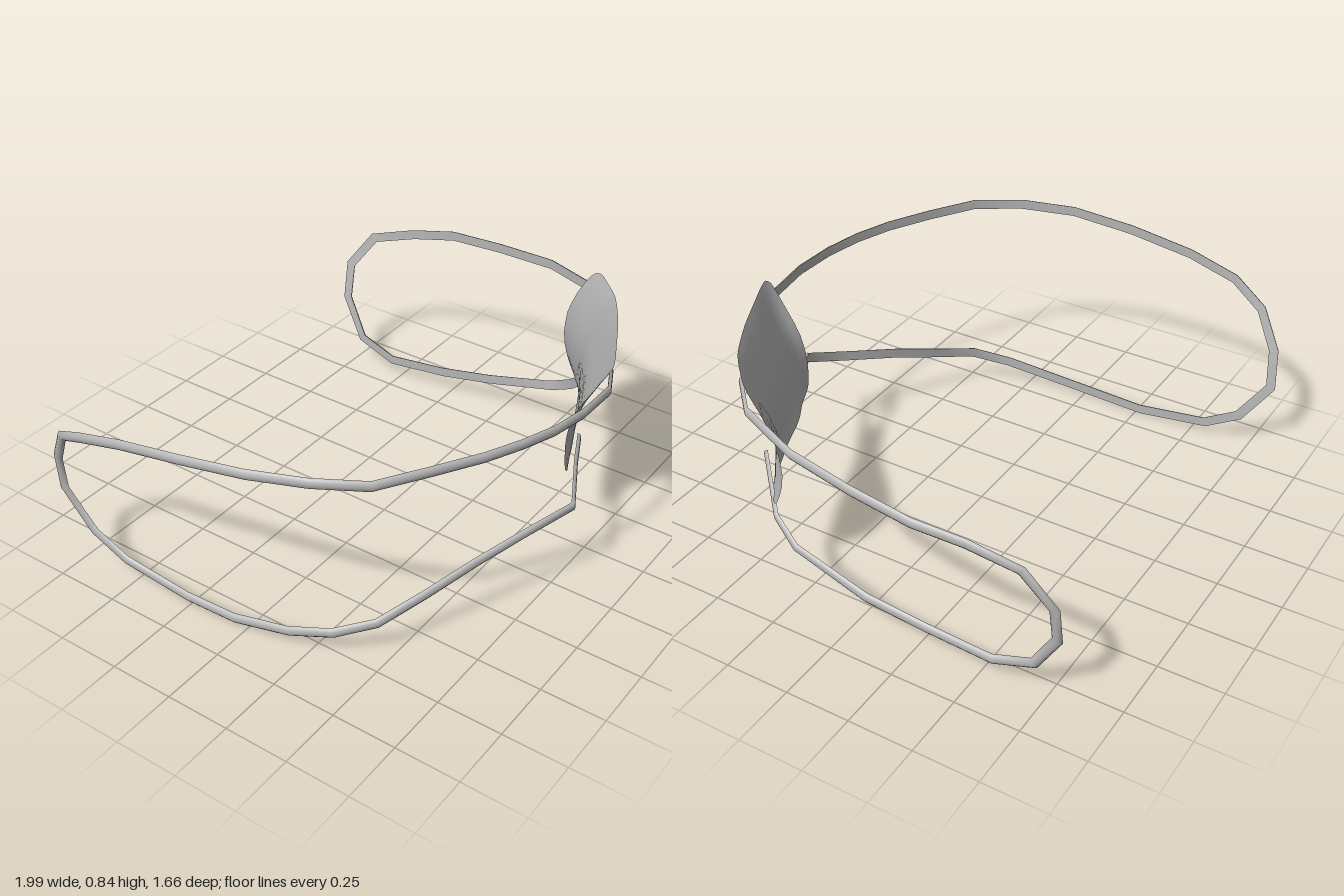
import * as THREE from 'three';

const grey = new THREE.MeshStandardMaterial({ color: 0xb4b4b4, side: THREE.DoubleSide });
grey.name = 'grey';

// Linear lookup in a short list of [position, value] stops
function lookup(stops, t) {
  for (let i = 1; i < stops.length; i++) {
    const [a, va] = stops[i - 1], [b, vb] = stops[i];
    if (t <= b) {
      const k = (t - a) / (b - a);
      return va + (vb - va) * k;
    }
  }
  return stops[stops.length - 1][1];
}

// Smoothed lookup, averaging neighbouring positions
function soft(stops, t) {
  const w = Math.min(0.07, t, 1 - t);
  return (lookup(stops, t - w) + 2 * lookup(stops, t) + lookup(stops, t + w)) / 4;
}

// Curved patch: a rounded rectangle wrapped around the face,
// its inner side rolled back and the middle of its lower edge curled in
function makePatch() {
  const topCurve = [[0, 0.815], [0.07, 0.805], [0.5, 0.673], [0.76, 0.575], [1, 0.42]];
  const leanInner = [[0, 0], [0.24, -0.05], [0.45, -0.1], [0.7, -0.125], [0.9, -0.13], [1, -0.13]];
  const leanOuter = [[0, 0], [0.1, -0.04], [0.27, -0.085], [0.47, -0.12], [0.7, -0.125], [0.9, -0.095], [1, -0.065]];
  const curlAcross = [[0, 0], [0.15, 0.4], [0.25, 1], [0.7, 1], [0.8, 0.4], [1, 0]];
  const rows = [0, 0.006, 0.02, 0.045, 0.08, 0.16, 0.26, 0.36, 0.46, 0.56, 0.66, 0.76, 0.86, 0.92, 0.955, 0.98, 0.994, 1];
  const cols = 24, r = 0.08;
  const pos = [], index = [];
  rows.forEach((v, j) => {
    const d = Math.min(v, 1 - v, r);
    const inset = 0.75 * (r - Math.sqrt(r * r - (r - d) ** 2));
    const curl = 0.035 * Math.max(0, (v - 0.8) / 0.2) ** 1.5;
    for (let i = 0; i <= cols; i++) {
      const u = inset + (1 - 2 * inset) * (i / cols);
      const x = 0.197 - 0.025 * v + u * (0.638 + 0.008 * v);
      const y = 0.842 - 0.482 * v - 0.012 * u;
      const roll = 0.025 * Math.max(0, 1 - u / 0.15) ** 2 * Math.sin(Math.PI * v);
      const z = soft(topCurve, u) + (1 - u) * soft(leanInner, v) + u * soft(leanOuter, v)
        - roll - curl * soft(curlAcross, u);
      pos.push(x, y, z);
      if (j && i) {
        const d0 = j * (cols + 1) + i, b0 = d0 - cols - 1;
        index.push(b0 - 1, d0 - 1, d0, b0 - 1, d0, b0);
      }
    }
  });
  const g = new THREE.BufferGeometry();
  g.setAttribute('position', new THREE.Float32BufferAttribute(pos, 3));
  g.setIndex(index);
  g.computeVertexNormals();
  return g;
}

// Strap: a band with a flat inside and a rounded outside, swept along the points
function makeStrap(points) {
  const P = points.map(p => new THREE.Vector3(...p));
  const half = 0.02, thick = 0.014, arc = 6;
  const section = [];
  for (let k = 0; k <= arc; k++) {
    const a = Math.PI * k / arc;
    section.push([half * Math.cos(a), thick * Math.sin(a) - thick / 2]);
  }
  section.push([-half, -thick / 2], [half, -thick / 2]); // doubled corners for a crisp flat side
  const n = section.length, pos = [], index = [];
  P.forEach((p, i) => {
    const before = P[Math.max(i - 1, 0)], after = P[Math.min(i + 1, P.length - 1)];
    const t = p.clone().sub(before).normalize().add(after.clone().sub(p).normalize()).normalize();
    const out = new THREE.Vector3(p.x, 0, Math.max(p.z, 0) * 1.5);
    out.addScaledVector(t, -out.dot(t)).normalize();
    const side = t.clone().cross(out);
    for (const [a, b] of section) {
      const q = p.clone().addScaledVector(side, a).addScaledVector(out, b);
      pos.push(q.x, q.y, q.z);
    }
    if (i) {
      for (let k = 0; k < n - 1; k++) {
        if (k === arc) continue;
        const c = i * n + k, b = c - n;
        index.push(b, b + 1, c, b + 1, c + 1, c);
      }
    }
  });
  // End caps
  const end = (P.length - 1) * n;
  for (let k = 1; k < arc; k++) index.push(0, k + 1, k, end, end + k, end + k + 1);
  const g = new THREE.BufferGeometry();
  g.setAttribute('position', new THREE.Float32BufferAttribute(pos, 3));
  g.setIndex(index);
  g.computeVertexNormals();
  return g;
}

export function createModel() {
  const group = new THREE.Group();
  group.name = 'eyePatch';
  const add = (name, geometry) => {
    const mesh = new THREE.Mesh(geometry, grey);
    mesh.name = name;
    group.add(mesh);
  };

  add('patch', makePatch());

  // Long loop across the brow, round the right ear and back under the cheek
  add('rightStrap', makeStrap([
    [0.345, 0.74, 0.745], [0.2, 0.757, 0.813], [0, 0.778, 0.823], [-0.16, 0.79, 0.803], [-0.3, 0.8, 0.763],
    [-0.44, 0.806, 0.705], [-0.6, 0.81, 0.615], [-0.78, 0.811, 0.503], [-0.88, 0.812, 0.335],
    [-0.95, 0.802, 0.13], [-0.98, 0.772, -0.12], [-0.99, 0.73, -0.38], [-0.985, 0.675, -0.58],
    [-0.94, 0.6, -0.72], [-0.9, 0.455, -0.803], [-0.88, 0.3, -0.815], [-0.865, 0.135, -0.7],
    [-0.855, 0.058, -0.56], [-0.85, 0.023, -0.27], [-0.85, 0.033, -0.05], [-0.82, 0.065, 0.17],
    [-0.775, 0.105, 0.33], [-0.69, 0.155, 0.46], [-0.52, 0.213, 0.55], [-0.35, 0.275, 0.635],
    [-0.17, 0.33, 0.725], [0, 0.382, 0.815], [0.18, 0.422, 0.72], [0.31, 0.44, 0.66],
  ]));

  // Short loop from the patch round the left ear
  add('leftStrap', makeStrap([
    [0.69, 0.737, 0.56], [0.835, 0.738, 0.42], [0.94, 0.725, 0.16], [0.975, 0.702, -0.1],
    [0.99, 0.68, -0.34], [0.955, 0.648, -0.52], [0.92, 0.593, -0.7], [0.885, 0.45, -0.8],
    [0.855, 0.3, -0.797], [0.83, 0.135, -0.7], [0.83, 0.076, -0.54], [0.84, 0.103, -0.28],
    [0.855, 0.143, -0.05], [0.845, 0.23, 0.25], [0.805, 0.298, 0.36], [0.67, 0.447, 0.495],
  ]));

  return group;
}
